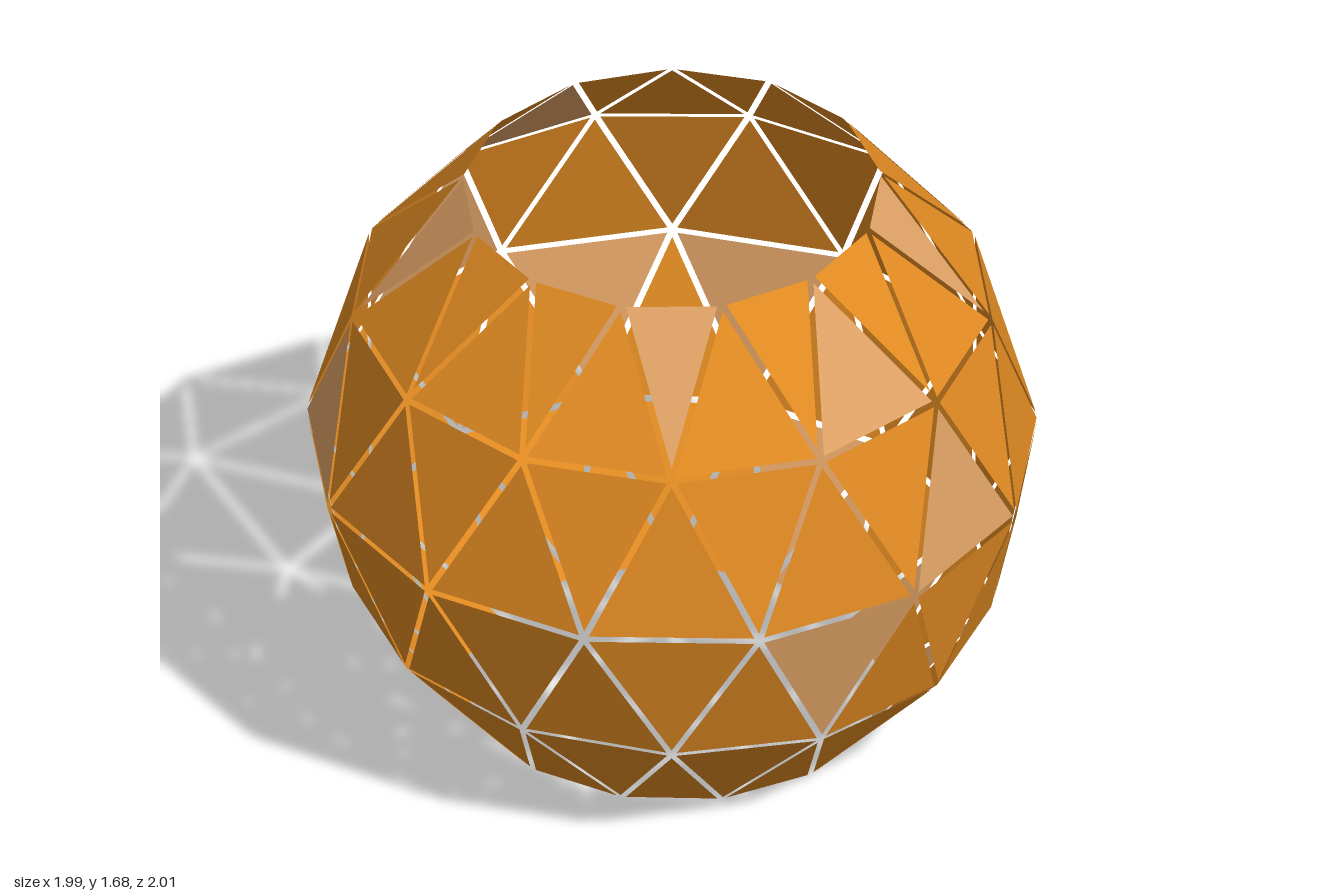
import * as THREE from 'three';

const SIDES = 13;
const STEP = Math.PI / SIDES; // half a panel width, as an angle
const START = 6.92 * Math.PI / 180;
const SHIFT_X = -0.022;
const INSET = 0.009; // half of the gap between panels

// Rings from bottom to top: radius, height and slight tilt along x and z
const RINGS = [
  { r: 0.575, y: 0.012, tx: -0.015, tz: 0.022 },
  { r: 0.888, y: 0.382, tx: -0.03, tz: 0.03 },
  { r: 1.015, y: 0.842, tx: -0.01, tz: 0.015 },
  { r: 0.888, y: 1.322, tx: -0.006, tz: 0 },
  { r: 0.575, y: 1.685, tx: 0.012, tz: 0 },
];

// Pale panels in each row, counted in half steps around the ring
const PALE = [
  [7, 9, 11, 12],
  [3, 13, 15],
  [5, 17, 21],
  [1, 4, 7, 16, 21],
];

function ringPoint(ring, m) {
  const { r, y, tx, tz } = RINGS[ring];
  const a = START + m * STEP;
  const x = r * Math.sin(a), z = r * Math.cos(a);
  return new THREE.Vector3(x + SHIFT_X, y + tx * x + tz * z, z);
}

// Shrink a triangle evenly towards its incentre to leave a gap on each edge
function insetTriangle([a, b, c]) {
  const la = b.distanceTo(c), lb = c.distanceTo(a), lc = a.distanceTo(b);
  const sum = la + lb + lc;
  const centre = new THREE.Vector3()
    .addScaledVector(a, la / sum).addScaledVector(b, lb / sum).addScaledVector(c, lc / sum);
  const inRadius = 2 * new THREE.Triangle(a, b, c).getArea() / sum;
  return [a, b, c].map((p) => p.clone().lerp(centre, INSET / inRadius));
}

// One triangular panel; even m is centred on an even-ring vertex
function panelCorners(row, m) {
  const lower = row, upper = row + 1;
  const upperIsEven = upper % 2 === 0;
  const pointsUp = (m % 2 === 0) === upperIsEven;
  return pointsUp
    ? [ringPoint(lower, m - 1), ringPoint(lower, m + 1), ringPoint(upper, m)]
    : [ringPoint(lower, m), ringPoint(upper, m + 1), ringPoint(upper, m - 1)];
}

function panelMesh(triangles, material, name) {
  const geometry = new THREE.BufferGeometry().setFromPoints(triangles.flat());
  geometry.computeVertexNormals();
  const mesh = new THREE.Mesh(geometry, material);
  mesh.name = name;
  return mesh;
}

export function createModel() {
  const orange = new THREE.MeshStandardMaterial({ color: 0xe08a22 });
  orange.name = 'orange';
  orange.side = THREE.DoubleSide;
  const tan = new THREE.MeshStandardMaterial({ color: 0xdca064 });
  tan.name = 'tan';
  tan.side = THREE.DoubleSide;

  const model = new THREE.Group();
  model.name = 'panelledSphereBand';
  const rowNames = ['bottomRow', 'lowerRow', 'upperRow', 'topRow'];

  // Four rows of alternating triangles
  rowNames.forEach((name, row) => {
    const group = new THREE.Group();
    group.name = name;
    const plain = [], pale = [];
    for (let m = 0; m < SIDES * 2; m++) {
      const list = PALE[row].includes(m) ? pale : plain;
      list.push(insetTriangle(panelCorners(row, m)));
    }
    group.add(panelMesh(plain, orange, 'orangePanels'));
    group.add(panelMesh(pale, tan, 'palePanels'));
    model.add(group);
  });
  return model;
}
